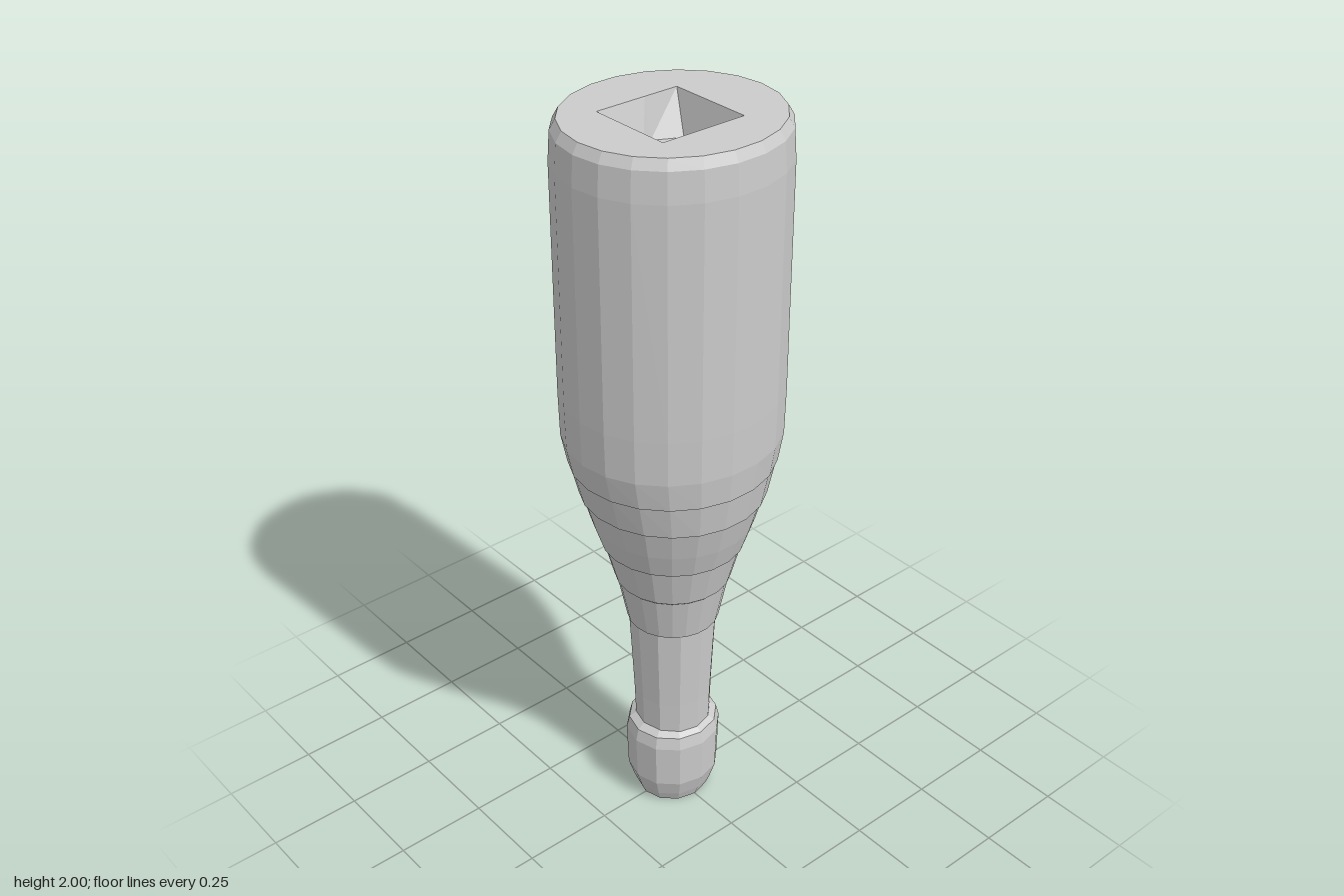
import * as THREE from 'three';

const material = new THREE.MeshStandardMaterial({ color: 0xcccccc, flatShading: true });
const SIDES = 22;

// The wide body is slightly deeper than broad; the shoulder below is round.
const depthAt = (y) => 1 + 0.065 * THREE.MathUtils.smoothstep(y, 1.0, 1.2);

function part(name, geometry) {
  const mesh = new THREE.Mesh(geometry, material);
  mesh.name = name;
  return mesh;
}

// Turned part from [radius, height] pairs, listed from bottom to top
function turned(name, profile, sides) {
  const geometry = new THREE.LatheGeometry(profile.map(([r, y]) => new THREE.Vector2(r, y)), sides);
  const p = geometry.attributes.position;
  for (let i = 0; i < p.count; i++) p.setZ(i, p.getZ(i) * depthAt(p.getY(i)));
  return part(name, geometry);
}

// Square-mouthed recess narrowing to an uneven floor; [x, z] corners in matching order
const mouth = [[-0.11, -0.105], [0.12, -0.105], [0.12, -0.01], [0.12, 0.0],
  [0.12, 0.13], [0.02, 0.13], [-0.11, 0.13], [-0.11, -0.01]];
const floor = [[-0.055, -0.08], [0.04, -0.09], [0.085, -0.01], [0.095, 0.01],
  [0.04, 0.08], [0.0, 0.09], [-0.08, 0.02], [-0.09, -0.01]];

function recess(top, depth) {
  const n = mouth.length;
  const positions = [];
  const index = [];
  mouth.forEach(([x, z]) => positions.push(x, top, z));
  floor.forEach(([x, z]) => positions.push(x, top - depth, z));
  positions.push(0, top - depth, 0);
  for (let i = 0; i < n; i++) {
    const j = (i + 1) % n;
    index.push(i, j, n + i, j, n + j, n + i); // wall
    index.push(n + i, n + j, 2 * n); // floor
  }
  const geometry = new THREE.BufferGeometry();
  geometry.setAttribute('position', new THREE.Float32BufferAttribute(positions, 3));
  // corners run clockwise from above, so flip them to face into the hollow
  for (let i = 0; i < index.length; i += 3) [index[i], index[i + 1]] = [index[i + 1], index[i]];
  geometry.setIndex(index);
  geometry.computeVertexNormals();
  return part('baseRecess', geometry);
}

// Flat end of the body with a square hole
function base(radius, y) {
  const rim = [];
  for (let i = 0; i < SIDES; i++) {
    const a = (i / SIDES) * Math.PI * 2;
    rim.push(new THREE.Vector2(radius * Math.sin(a), -radius * Math.cos(a) * depthAt(y)));
  }
  const shape = new THREE.Shape(rim);
  shape.holes.push(new THREE.Path(mouth.map(([x, z]) => new THREE.Vector2(x, -z))));
  const geometry = new THREE.ShapeGeometry(shape);
  geometry.rotateX(-Math.PI / 2);
  geometry.translate(0, y, 0);
  return part('base', geometry);
}

export function createModel() {
  const bottle = new THREE.Group();
  bottle.name = 'invertedBottle';

  // Lip around the mouth, at the bottom
  const lip = turned('lip', [
    [0, 0], [0.095, 0], [0.107, 0.03], [0.122, 0.08], [0.126, 0.21], [0.118, 0.245], [0.09, 0.265],
  ], 12);
  lip.scale.z = 1.05;

  const neck = turned('neck', [[0.102, 0.22], [0.106, 0.35], [0.112, 0.48], [0.118, 0.6]], 12);

  // Shoulder in shallow stepped bands
  const shoulder = turned('shoulder', [
    [0.11, 0.595], [0.122, 0.6], [0.148, 0.73], [0.153, 0.735], [0.182, 0.845], [0.189, 0.85],
    [0.212, 0.92], [0.234, 1.0], [0.241, 1.005], [0.257, 1.1],
  ], SIDES);

  const body = turned('body', [
    [0.25, 1.095], [0.26, 1.1], [0.269, 1.18], [0.271, 1.3], [0.271, 1.9], [0.266, 1.975], [0.252, 2],
  ], SIDES);

  bottle.add(lip, neck, shoulder, body, base(0.252, 2), recess(2, 0.1));
  return bottle;
}
